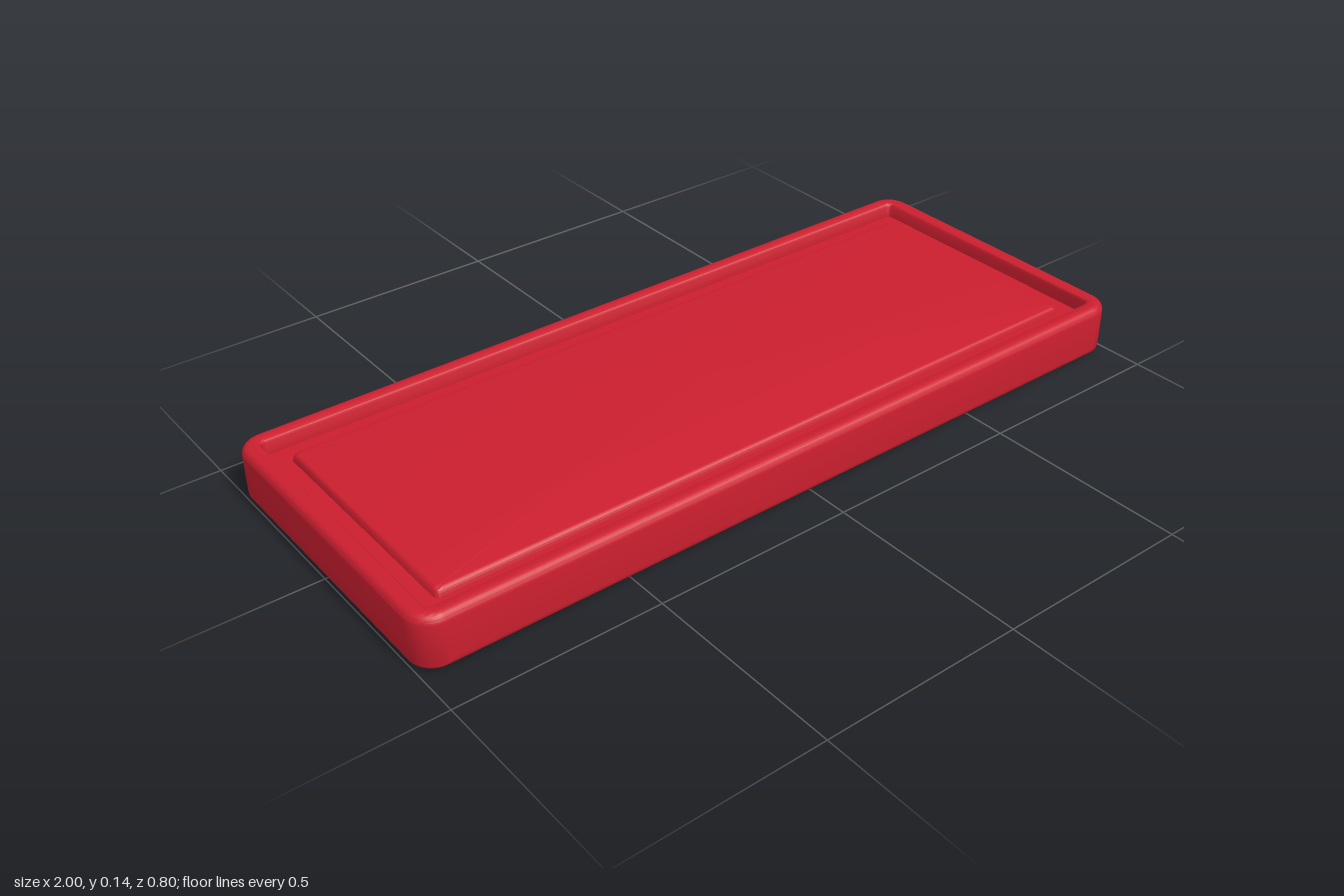
import * as THREE from 'three';
import { toCreasedNormals } from 'three/addons/utils/BufferGeometryUtils.js';

const HALF_X = 1, HALF_Z = 0.4, CORNER_STEPS = 8;

// One rounded-rectangle loop, inset from the outer edge, at height y
function loopPoints(inset, y, radius) {
  const points = [];
  const cx = HALF_X - inset - radius, cz = HALF_Z - inset - radius;
  [[1, 1], [-1, 1], [-1, -1], [1, -1]].forEach(([sx, sz], q) => {
    for (let i = 0; i <= CORNER_STEPS; i++) {
      const a = (q + i / CORNER_STEPS) * Math.PI / 2;
      points.push(sx * cx + radius * Math.cos(a), y, sz * cz + radius * Math.sin(a));
    }
  });
  return points;
}

// Quarter-round edge in the profile: centre (inset, y), from angle a0 to a1
function edge(inset, y, r, a0, a1, steps = 5) {
  return Array.from({ length: steps + 1 }, (_, i) => {
    const a = THREE.MathUtils.degToRad(a0 + (a1 - a0) * i / steps);
    return [inset - r * Math.cos(a), y + r * Math.sin(a)];
  });
}

// Loft the profile around the rectangle and close both ends
function loft(profile) {
  const positions = [], index = [], n = 4 * (CORNER_STEPS + 1);
  profile.forEach(([inset, y]) => {
    positions.push(...loopPoints(inset, y, Math.max(0.06 - inset, 0.012)));
  });
  for (let k = 0; k < profile.length - 1; k++) {
    for (let i = 0; i < n; i++) {
      const a = k * n + i, b = k * n + (i + 1) % n;
      index.push(a, a + n, b, b, a + n, b + n);
    }
  }
  const last = (profile.length - 1) * n, bottom = positions.length / 3;
  positions.push(0, profile[0][1], 0, 0, profile.at(-1)[1], 0);
  for (let i = 0; i < n; i++) {
    const j = (i + 1) % n;
    index.push(bottom, i, j, bottom + 1, last + j, last + i);
  }
  const geometry = new THREE.BufferGeometry();
  geometry.setAttribute('position', new THREE.Float32BufferAttribute(positions, 3));
  geometry.setIndex(index);
  return toCreasedNormals(geometry, 0.6);
}

export function createModel() {
  const group = new THREE.Group();
  group.name = 'tray';
  const red = new THREE.MeshStandardMaterial({ color: 0xcc1f2f });

  const profile = [
    ...edge(0.02, 0.02, 0.02, -90, 0),      // rounded underside edge
    ...edge(0.02, 0.115, 0.02, 0, 90),      // outer rim edge
    ...edge(0.032, 0.122, 0.013, 90, 180),  // inner rim edge
    [0.046, 0.095],                         // groove wall
    [0.092, 0.095],                         // groove floor
    ...edge(0.108, 0.1, 0.015, 0, 90),      // raised panel edge
  ];
  const body = new THREE.Mesh(loft(profile), red);
  body.name = 'trayBody';
  group.add(body);
  return group;
}
